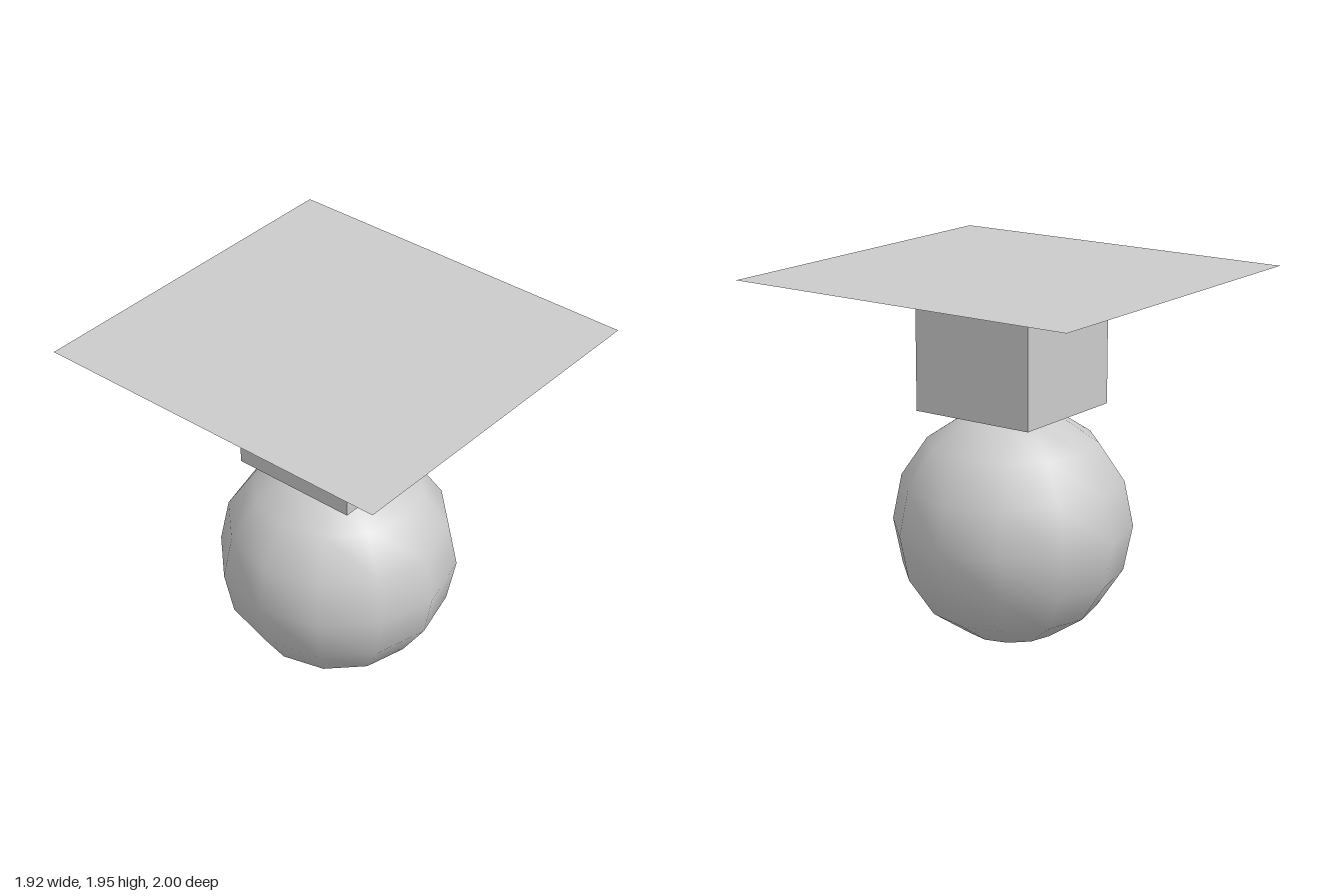
import * as THREE from 'three';

export function createModel() {
  const model = new THREE.Group();
  const grey = new THREE.MeshStandardMaterial({ color: 0xcccccc });
  const greySheet = new THREE.MeshStandardMaterial({ color: 0xcccccc, side: THREE.DoubleSide });

  const add = (name, geometry, material, y) => {
    const mesh = new THREE.Mesh(geometry, material);
    mesh.name = name;
    mesh.position.y = y;
    model.add(mesh);
  };

  // Smooth-shaded low-poly ball on the ground
  const radius = 0.63;
  add('ball', new THREE.SphereGeometry(radius, 12, 8), grey, radius);

  // Cube resting on the ball
  const side = 0.7;
  add('cube', new THREE.BoxGeometry(side, side, side), grey, 1.25 + side / 2);

  // Thin flat sheet level with the top of the cube
  add('topSheet', new THREE.PlaneGeometry(1.92, 2).rotateX(-Math.PI / 2), greySheet, 1.95);

  return model;
}
